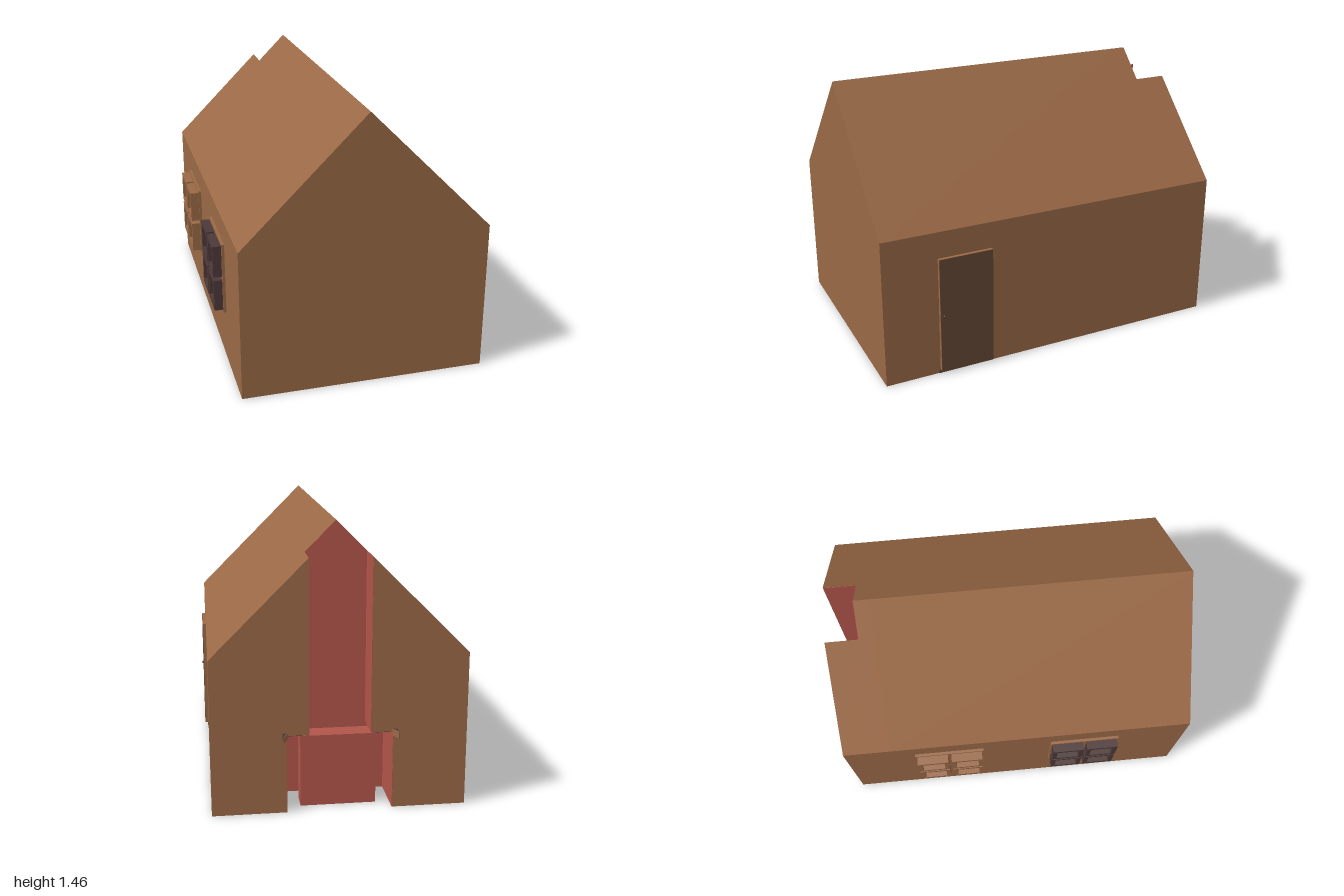
import * as THREE from 'three';

const material = (name, color) => {
  const m = new THREE.MeshStandardMaterial({ color });
  m.name = name;
  return m;
};

export function createModel() {
  const wood = material('wallBrown', 0x9a6946);
  const brick = material('brickRed', 0xb2554a);
  const dark = material('darkPlum', 0x4d3939);
  const doorBrown = material('doorBrown', 0x644935);
  const house = new THREE.Group();
  house.name = 'house';

  const add = (parent, name, geometry, mat) => {
    const mesh = new THREE.Mesh(geometry, mat);
    mesh.name = name;
    parent.add(mesh);
    return mesh;
  };
  // Box given by its min and max corners
  const box = (parent, name, mat, [x0, x1], [y0, y1], [z0, z1]) =>
    add(parent, name, new THREE.BoxGeometry(x1 - x0, y1 - y0, z1 - z0)
      .translate((x0 + x1) / 2, (y0 + y1) / 2, (z0 + z1) / 2), mat);
  const outline = (points) => new THREE.Shape(points.map(([x, y]) => new THREE.Vector2(x, y)));
  // Outline in x, y pushed from z0 to z1
  const slab = (parent, name, mat, points, z0, z1) =>
    add(parent, name, new THREE.ExtrudeGeometry(outline(points), { depth: z1 - z0, bevelEnabled: false })
      .translate(0, 0, z0), mat);

  // Main dimensions
  const cx = 0.02, half = 0.65, eave = 0.81, ridge = 1.46;
  const back = -0.95, flueZ = -0.77, hearthZ = -0.69;
  const flue = 0.157, hearth = 0.27, mantelY = 0.41;
  const roofY = (d) => ridge - (ridge - eave) * d / half;
  const gable = [[cx + half, 0], [cx + half, eave], [cx, ridge], [cx - half, eave], [cx - half, 0]];

  // House body, with the hearth recess and open flue cut into the back
  slab(house, 'body', wood, gable, hearthZ, 1);
  slab(house, 'wallAboveHearth', wood, [...gable,
    [cx - hearth, 0], [cx - hearth, mantelY], [cx + hearth, mantelY], [cx + hearth, 0]], flueZ, hearthZ);
  for (const s of [-1, 1]) {
    const side = s < 0 ? 'right' : 'left';
    slab(house, side + 'BackWall', wood, [[half, 0], [half, eave], [flue, roofY(flue)],
      [flue, mantelY], [hearth, mantelY], [hearth, 0]].map(([x, y]) => [cx + s * x, y]), back, flueZ);

    // Brick linings and dark lintel
    const t = 0.002;
    const across = (a, b) => [cx + s * a, cx + s * b].sort((p, q) => p - q);
    box(house, side + 'FlueLining', brick, across(flue - t, flue + t), [mantelY, roofY(flue) - 0.003], [back + 0.001, flueZ]);
    box(house, side + 'HearthLining', brick, across(hearth - t, hearth + t), [0, mantelY], [back + 0.001, hearthZ]);
    box(house, side + 'Lintel', dark, across(flue, hearth), [mantelY - t, mantelY + t], [back + 0.001, hearthZ]);

    // Small pointed bracket beside the hearth: dark wedge with a brown inner slope
    const wedge = outline([[cx + s * 0.266, 0.95], [cx + s * 0.29, 0.95], [cx + s * 0.29, 1]]);
    add(house, side + 'Bracket', new THREE.ExtrudeGeometry(wedge, { depth: 0.035, bevelEnabled: false })
      .rotateX(-Math.PI / 2).translate(0, 0.39, 0), dark);
    const slope = add(house, side + 'BracketSlope', new THREE.BoxGeometry(0.003, 0.035, 0.053), wood);
    slope.position.set(cx + s * 0.277, 0.4075, -0.975);
    slope.rotation.y = -s * Math.atan2(0.024, 0.05);
  }
  slab(house, 'flueBack', brick, [[cx - flue, 0.37], [cx + flue, 0.37], [cx + flue, roofY(flue) - 0.002],
    [cx, ridge - 0.002], [cx - flue, roofY(flue) - 0.002]], flueZ - 0.003, flueZ + 0.001);
  box(house, 'hearthBack', brick, [cx - hearth, cx + hearth], [0, mantelY], [hearthZ - 0.003, hearthZ]);
  box(house, 'hearthNeck', brick, [cx - flue, cx + flue], [0, mantelY], [flueZ, hearthZ]);
  box(house, 'hearthBlock', brick, [cx - 0.195, cx + 0.195], [0, 0.38], [-0.88, flueZ]);

  // Underside, following the gaps around the hearth (x, z)
  const halfFloor = [[half, 1], [half, back], [hearth, back], [hearth, hearthZ],
    [flue, hearthZ], [flue, flueZ], [0.195, flueZ], [0.195, -0.88]];
  const floor = [...halfFloor.map(([x, z]) => [cx + x, z]),
    ...halfFloor.map(([x, z]) => [cx - x, z]).reverse()];
  add(house, 'floor', new THREE.ShapeGeometry(outline(floor)).rotateX(Math.PI / 2).translate(0, -0.001, 0), dark);

  // Door on the left wall
  const door = new THREE.Group();
  door.name = 'door';
  house.add(door);
  box(door, 'doorSlab', wood, [0.67, 0.688], [0.02, 0.665], [0.4, 0.7]);
  box(door, 'doorFace', doorBrown, [0.687, 0.69], [0.021, 0.664], [0.401, 0.699]);
  box(door, 'doorSill', doorBrown, [0.668, 0.673], [0, 0.02], [0.395, 0.71]);
  add(door, 'doorKnob', new THREE.SphereGeometry(0.008, 10, 8).translate(0.691, 0.34, 0.678), dark);

  // Windows on the right wall: backing plate and four deep pane frames
  const frameShape = outline([[-0.0875, -0.0875], [0.0875, -0.0875], [0.0875, 0.0875], [-0.0875, 0.0875]]);
  const r = 0.064;
  frameShape.holes.push(new THREE.Path([[-r, -r], [-r, r], [r, r], [r, -r]].map(([x, y]) => new THREE.Vector2(x, y))));
  const frameGeometry = new THREE.ExtrudeGeometry(frameShape, { depth: 0.046, bevelEnabled: false });
  const buildWindow = (name, z, frameMat, paneMat) => {
    const win = new THREE.Group();
    win.name = name;
    win.position.set(cx - half, 0.485, z);
    win.rotation.y = -Math.PI / 2;
    house.add(win);
    box(win, 'windowPlate', wood, [-0.195, 0.195], [-0.197, 0.197], [0, 0.015]);
    for (const x of [-0.0975, 0.0975]) for (const y of [-0.0975, 0.0975]) {
      add(win, 'paneFrame', frameGeometry, frameMat).position.set(x, y, 0.015);
      box(win, 'pane', paneMat, [x - r, x + r], [y - r, y + r], [0.014, 0.019]);
    }
  };
  buildWindow('backWindow', -0.365, wood, dark);
  buildWindow('frontWindow', 0.413, dark, wood);

  return house;
}
